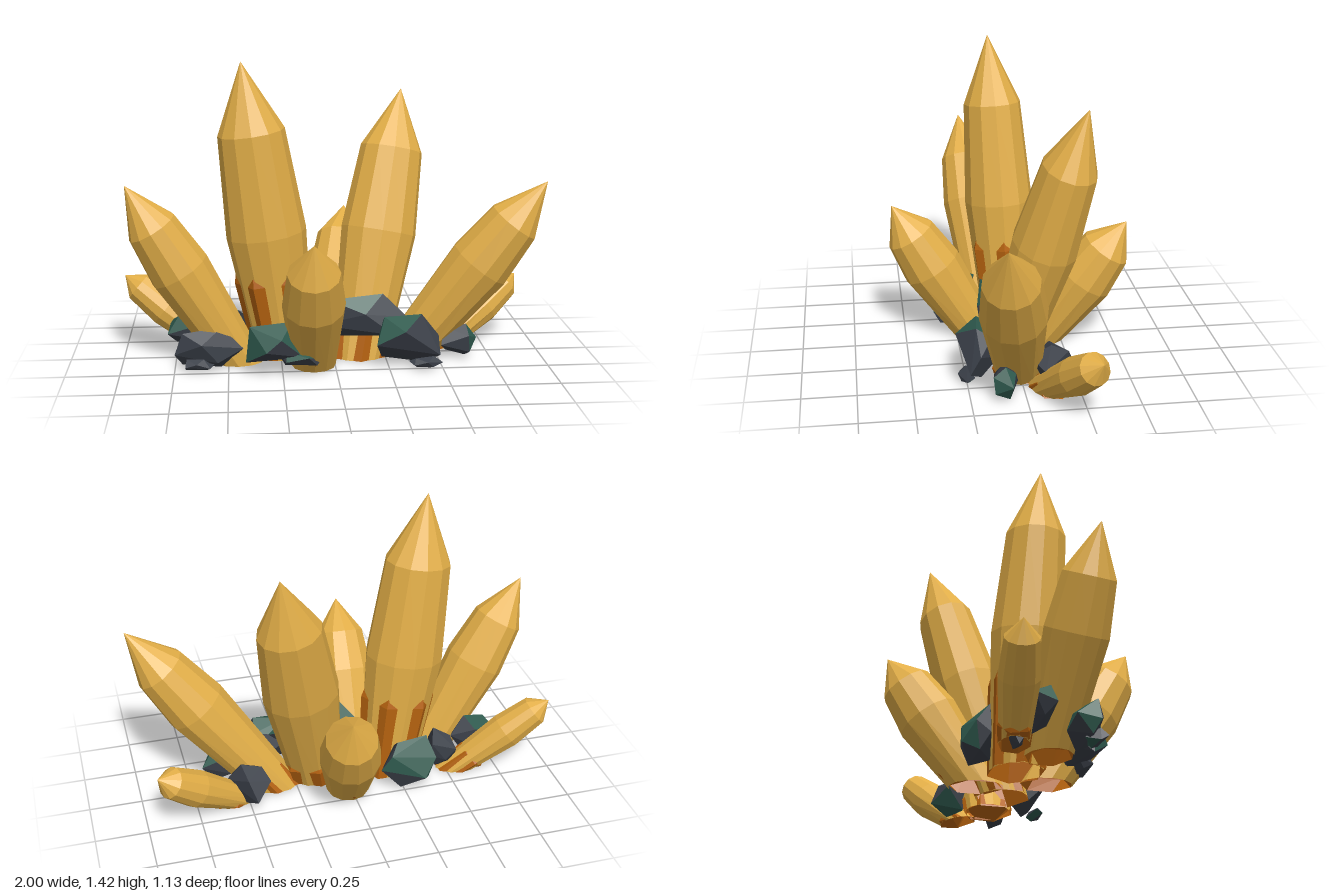
import * as THREE from 'three';
import { ConvexGeometry } from 'three/addons/geometries/ConvexGeometry.js';

const mat = (name, color) => {
  const m = new THREE.MeshStandardMaterial({ color });
  m.name = name;
  return m;
};

// Small seeded generator for the rocks
function seeded(seed) {
  let s = seed * 7919 + 17;
  return () => (s = (s * 16807) % 2147483647) / 2147483647;
}

// Lathed spike along base-to-tip, its foot cut level with the ground
function spike(profile, base, tip, sides, turn, depth) {
  const axis = tip.clone().sub(base);
  const len = axis.length();
  axis.normalize();
  const pts = profile.map(([r, t]) => new THREE.Vector2(r, t * len));
  const geo = new THREE.LatheGeometry(pts, sides, turn).toNonIndexed();
  geo.scale(1, 1, depth);
  const q = new THREE.Quaternion().setFromUnitVectors(new THREE.Vector3(0, 1, 0), axis);
  const p = geo.attributes.position;
  const v = new THREE.Vector3();
  for (let i = 0; i < p.count; i++) {
    v.fromBufferAttribute(p, i);
    const foot = v.y < 1e-6;
    v.applyQuaternion(q).add(base);
    if (foot || v.y < 0) v.addScaledVector(axis, -v.y / axis.y);
    p.setXYZ(i, v.x, v.y, v.z);
  }
  geo.computeVertexNormals();
  return geo;
}

// Faceted boulder filling a box; faces turned towards "moss" are green
function boulder(seed, center, half, moss) {
  const rnd = seeded(seed);
  for (let i = 0; i < 5; i++) rnd();
  const pts = [];
  for (let i = 0; i < 11; i++) {
    const y = 1 - (2 * (i + 0.5)) / 11;
    const a = i * 2.4 + rnd() * 0.9;
    const r = Math.sqrt(1 - y * y);
    const k = 0.8 + rnd() * 0.35;
    pts.push(new THREE.Vector3(r * Math.cos(a) * k, y * k, r * Math.sin(a) * k));
  }
  const box = new THREE.Box3().setFromPoints(pts);
  const mid = box.getCenter(new THREE.Vector3());
  const size = box.getSize(new THREE.Vector3());
  const h = new THREE.Vector3(...half);
  pts.forEach((p) => p.sub(mid).divide(size).multiplyScalar(2).multiply(h).add(new THREE.Vector3(...center)));
  const geo = new ConvexGeometry(pts);
  const n = geo.attributes.normal;
  const dir = new THREE.Vector3(...moss).normalize();
  const v = new THREE.Vector3();
  for (let i = 0; i < n.count; i += 3) {
    v.fromBufferAttribute(n, i);
    geo.addGroup(i, 3, v.dot(dir) > 0.45 ? 1 : 0);
  }
  return geo;
}

export function createModel() {
  const model = new THREE.Group();
  const gold = mat('golden crystal', 0xe2ae47);
  const orange = mat('orange core', 0xb5620f);
  const slate = mat('slate rock', 0x3a3f48);
  const green = mat('green rock', 0x2f5a4e);
  orange.side = THREE.DoubleSide;

  const add = (name, geo, material) => {
    const mesh = new THREE.Mesh(geo, material);
    mesh.name = name;
    model.add(mesh);
  };

  // Crystals: name, base, tip, radius, depth, widest point, shoulder, core size, height and turn
  const crystals = [
    ['tall', [-0.23, 0, -0.02], [-0.425, 1.42, 0.05], 0.19, 0.88, 0.43, 0.77, 1.085, 0.32, -0.56],
    ['second', [0.13, 0, 0.01], [0.36, 1.25, -0.31], 0.183, 0.86, 0.46, 0.77, 1.085, 0.13, 0],
    ['rightLeaning', [-0.45, 0, 0.06], [-0.96, 0.87, 0.15], 0.145, 1, 0.53, 0.77, 0.97, 0.2, 0],
    ['leftLeaning', [0.36, 0, 0], [1.0, 0.86, 0.13], 0.152, 1, 0.53, 0.77, 1.06, 0.08, 0],
    ['front', [-0.1, 0, 0.15], [-0.12, 0.67, 0.55], 0.145, 1, 0.53, 0.78, 0.97, 0.2, 0],
    ['back', [0.01, 0, -0.14], [0.1, 0.62, -0.55], 0.146, 1, 0.53, 0.78, 0.97, 0.2, 0],
    ['smallRight', [-0.56, 0, -0.12], [-1.0, 0.36, -0.2], 0.09, 1, 0.55, 0.85, 1.085, 0.2, 0],
    ['smallLeft', [0.54, 0, -0.1], [0.945, 0.31, -0.28], 0.09, 1, 0.55, 0.85, 1.06, 0.12, 0],
  ];
  for (const [name, b, t, r, depth, wide, shoulder, f, h, turn] of crystals) {
    const base = new THREE.Vector3(...b);
    const tip = new THREE.Vector3(...t);
    const width = (s) => r * (0.72 + (0.28 * s) / wide);
    const shell = [[width(0), 0], [r, wide], [0.83 * r, shoulder], [0, 1]];
    add(name + 'Crystal', spike(shell, base, tip, 12, 0, depth), gold);
    // Six-sided orange core whose corners break through near the foot
    const core = [[f * width(0), 0], [f * width(h * 0.85), h * 0.85], [0.95 * width(h), h], [0, h * 1.05]];
    add(name + 'Core', spike(core, base, tip, 6, turn, depth), orange);
  }

  // Rocks: center, half size, direction of the green faces
  const rocks = [
    [[-0.25, 0.15, 0.25], [0.17, 0.1, 0.12], [-0.2, 0.8, 0.6]],
    [[-0.59, 0.1, 0.17], [0.16, 0.1, 0.08], [-0.8, 0.6, -0.3]],
    [[-0.67, 0.13, -0.05], [0.12, 0.1, 0.07], [-0.3, 0.9, 0.6]],
    [[-0.27, 0.13, -0.21], [0.14, 0.12, 0.08], [-0.3, 0.6, -0.8]],
    [[0.12, 0.21, 0.06], [0.23, 0.11, 0.11], [0, 1, -0.1]],
    [[0.34, 0.13, 0.19], [0.15, 0.12, 0.1], [-0.3, 1, 0.1]],
    [[0.6, 0.085, 0.09], [0.09, 0.08, 0.06], [0.9, 0.4, 0.2]],
    [[0.5, 0.11, -0.14], [0.1, 0.1, 0.11], [0, -1, 0]],
    [[0.42, 0.03, 0.25], [0.08, 0.03, 0.04], [0, -1, -1]],
    [[-0.63, 0.03, 0.2], [0.07, 0.03, 0.05], [0, -1, -1]],
    [[-0.48, 0.11, -0.09], [0.07, 0.1, 0.06], [0, 1, 0.8]],
    [[-0.17, 0.08, 0.3], [0.1, 0.04, 0.06], [0, 1, 0.1]],
  ];
  rocks.forEach(([c, h, moss], i) => add('rock' + (i + 1), boulder(i + 3, c, h, moss), [slate, green]));

  return model;
}
